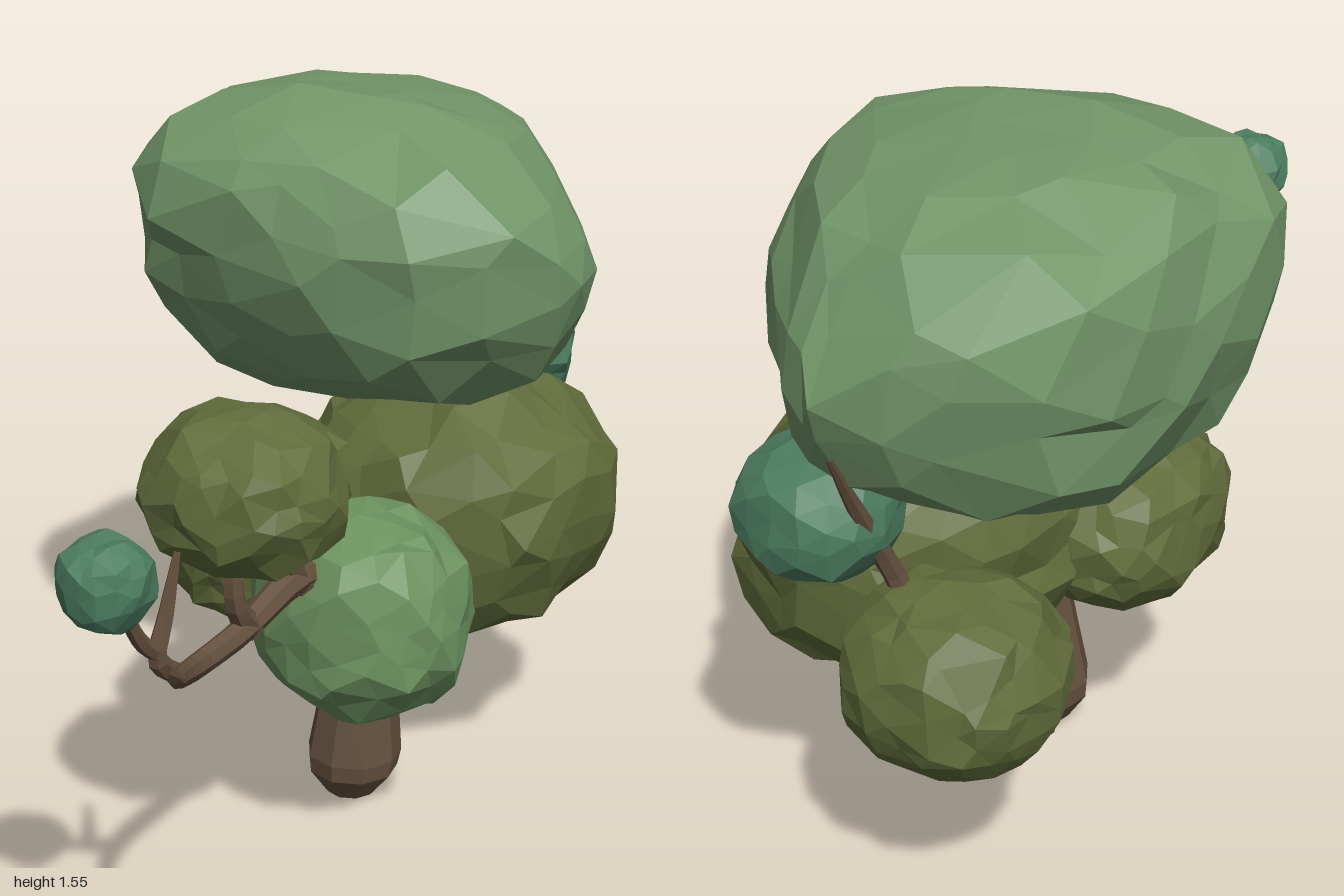
import * as THREE from 'three';
import { mergeVertices } from 'three/addons/utils/BufferGeometryUtils.js';

const mat = (color) => new THREE.MeshStandardMaterial({ color, flatShading: true, roughness: 1 });
const bark = mat(0x66523f);
const sage = mat(0x719568);
const olive = mat(0x616c3b);
const leaf = mat(0x6b925f);
const teal = mat(0x4c7d60);

function seeded(seed) {
  let s = seed * 7919 + 17;
  return () => (s = (s * 16807) % 2147483647) / 2147483647;
}

// Faceted leaf clump: a boxy, jittered icosphere fitted to the given half sizes
function clump(name, material, center, size, { seed, detail = 3, power = 2.35, jitter = 0.11, shape }) {
  let geo = new THREE.IcosahedronGeometry(1, detail);
  geo.deleteAttribute('uv');
  geo.deleteAttribute('normal');
  geo = mergeVertices(geo, 1e-3);
  const rand = seeded(seed);
  const pos = geo.attributes.position;
  const v = new THREE.Vector3();
  for (let i = 0; i < pos.count; i++) {
    v.fromBufferAttribute(pos, i);
    v.x += (rand() - 0.5) * 0.18;
    v.y += (rand() - 0.5) * 0.18;
    v.z += (rand() - 0.5) * 0.18;
    const norm = (Math.abs(v.x) ** power + Math.abs(v.y) ** power + Math.abs(v.z) ** power) ** (1 / power);
    v.multiplyScalar((1 - jitter * rand()) / norm);
    if (shape) shape(v);
    pos.setXYZ(i, v.x, v.y, v.z);
  }
  // Stretch so the clump fills its half sizes exactly
  geo.center();
  geo.computeBoundingBox();
  const b = geo.boundingBox;
  geo.scale(size[0] / b.max.x, size[1] / b.max.y, size[2] / b.max.z);
  geo.computeVertexNormals();
  const mesh = new THREE.Mesh(geo, material);
  mesh.name = name;
  mesh.position.set(...center);
  return mesh;
}

// Tapered limb along a smooth path, radii spread evenly over its length
function limb(name, points, radii, segments = 10, sides = 6) {
  const curve = new THREE.CatmullRomCurve3(points.map((p) => new THREE.Vector3(...p)));
  const geo = new THREE.TubeGeometry(curve, segments, 1, sides);
  const pos = geo.attributes.position;
  const v = new THREE.Vector3();
  for (let i = 0; i < pos.count; i++) {
    const u = Math.floor(i / (sides + 1)) / segments;
    const f = u * (radii.length - 1);
    const k = Math.min(Math.floor(f), radii.length - 2);
    const r = THREE.MathUtils.lerp(radii[k], radii[k + 1], f - k);
    const c = curve.getPointAt(u);
    v.fromBufferAttribute(pos, i).sub(c).multiplyScalar(r).add(c);
    pos.setXYZ(i, v.x, v.y, v.z);
  }
  geo.computeVertexNormals();
  const mesh = new THREE.Mesh(geo, bark);
  mesh.name = name;
  return mesh;
}

function trunk() {
  const profile = [[0, 0], [0.055, 0.01], [0.1, 0.07], [0.106, 0.11], [0.09, 0.24],
    [0.08, 0.33], [0.098, 0.43], [0.06, 0.6], [0, 0.64]];
  const geo = new THREE.LatheGeometry(profile.map((p) => new THREE.Vector2(...p)), 9);
  // Slight lean toward +x
  const pos = geo.attributes.position;
  for (let i = 0; i < pos.count; i++) pos.setX(i, pos.getX(i) + 0.07 * pos.getY(i));
  geo.computeVertexNormals();
  const mesh = new THREE.Mesh(geo, bark);
  mesh.name = 'trunk';
  mesh.position.set(0.08, 0, -0.135);
  return mesh;
}

export function createModel() {
  const tree = new THREE.Group();
  tree.name = 'tree';

  // Trunk and main limbs
  tree.add(
    trunk(),
    limb('upperLimb', [[0.11, 0.42, -0.14], [0.14, 0.65, -0.25], [0.05, 0.95, -0.42]], [0.07, 0.05, 0.03]),
    limb('backLimb', [[0.1, 0.38, -0.15], [0.05, 0.4, -0.27], [-0.02, 0.4, -0.48], [-0.08, 0.47, -0.7], [-0.06, 0.66, -0.78]],
      [0.075, 0.06, 0.045, 0.035, 0.022], 12, 7),
    limb('leftLimb', [[0.1, 0.4, -0.13], [0, 0.47, -0.12], [-0.13, 0.58, -0.12]], [0.065, 0.045, 0.03]),
    limb('frontLimb', [[0.11, 0.44, -0.12], [0.15, 0.6, 0.04], [0.16, 0.69, 0.25], [0.15, 0.65, 0.45],
      [0.15, 0.645, 0.62], [0.21, 0.7, 0.78], [0.345, 0.81, 0.975]],
    [0.06, 0.045, 0.036, 0.027, 0.024, 0.018, 0.004], 22, 7),
  );

  // Twigs
  tree.add(
    limb('frontTwig', [[0.155, 0.655, 0.69], [0.155, 0.72, 0.765], [0.165, 0.8, 0.75], [0.18, 0.925, 0.73]], [0.022, 0.02, 0.015, 0.007]),
    limb('frontTipTwig', [[0.155, 0.73, 0.765], [0.15, 0.77, 0.81], [0.15, 0.92, 0.9]], [0.017, 0.014, 0.008]),
    limb('clumpTwigNear', [[0.16, 0.67, 0.24], [0.16, 0.74, 0.29], [0.15, 0.92, 0.36]], [0.032, 0.022, 0.012]),
    limb('clumpTwigFar', [[0.15, 0.64, 0.42], [0.15, 0.72, 0.48], [0.15, 0.92, 0.48]], [0.028, 0.02, 0.012]),
    limb('backTwig', [[-0.06, 0.6, -0.76], [-0.02, 0.74, -0.79], [-0.01, 0.92, -0.88], [-0.03, 1.085, -0.98]],
      [0.026, 0.022, 0.017, 0.006]),
    limb('backTipTwig', [[-0.02, 0.72, -0.78], [0.03, 0.79, -0.79], [0.12, 0.88, -0.82]], [0.02, 0.017, 0.01]),
  );

  // Large canopy, cut away toward the back on the +x side and leaning forward at the top
  tree.add(clump('canopy', sage, [-0.015, 1.195, -0.5], [0.515, 0.357, 0.5], {
    seed: 3, power: 2.6, jitter: 0.08,
    shape: (v) => {
      if (v.x > 0) v.x *= 1 + 0.6 * Math.min(0, v.z - 0.05);
      v.x *= 1 + 0.1 * v.z;
      if (v.y > 0) {
        v.x -= 0.1 * v.y;
        v.y -= 0.03 * v.x;
        v.z += 0.15 * v.y;
      } else {
        v.x *= 1 + 0.08 * v.y;
        v.z *= 1 + 0.12 * v.y;
      }
    },
  }));

  // Smaller leaf clumps
  tree.add(
    clump('middleClump', olive, [0.185, 0.64, -0.445], [0.335, 0.29, 0.345],
      { seed: 5, shape: (v) => { v.x -= 0.1 * v.z; } }),
    clump('backClump', olive, [-0.135, 0.555, -0.76], [0.22, 0.197, 0.205], { seed: 8 }),
    clump('leftClump', olive, [-0.13, 0.59, -0.125], [0.185, 0.18, 0.25], { seed: 11 }),
    clump('frontClump', leaf, [0.205, 0.555, 0.06], [0.235, 0.225, 0.21], { seed: 14 }),
    clump('branchClump', olive, [0.155, 0.94, 0.445], [0.205, 0.165, 0.195], { seed: 17 }),
    clump('backTipClump', teal, [0.125, 0.87, -0.815], [0.16, 0.135, 0.155], { seed: 20, detail: 2 }),
    clump('frontTipClump', teal, [0.148, 0.93, 0.915], [0.09, 0.088, 0.085], { seed: 23, detail: 2 }),
  );
  return tree;
}
